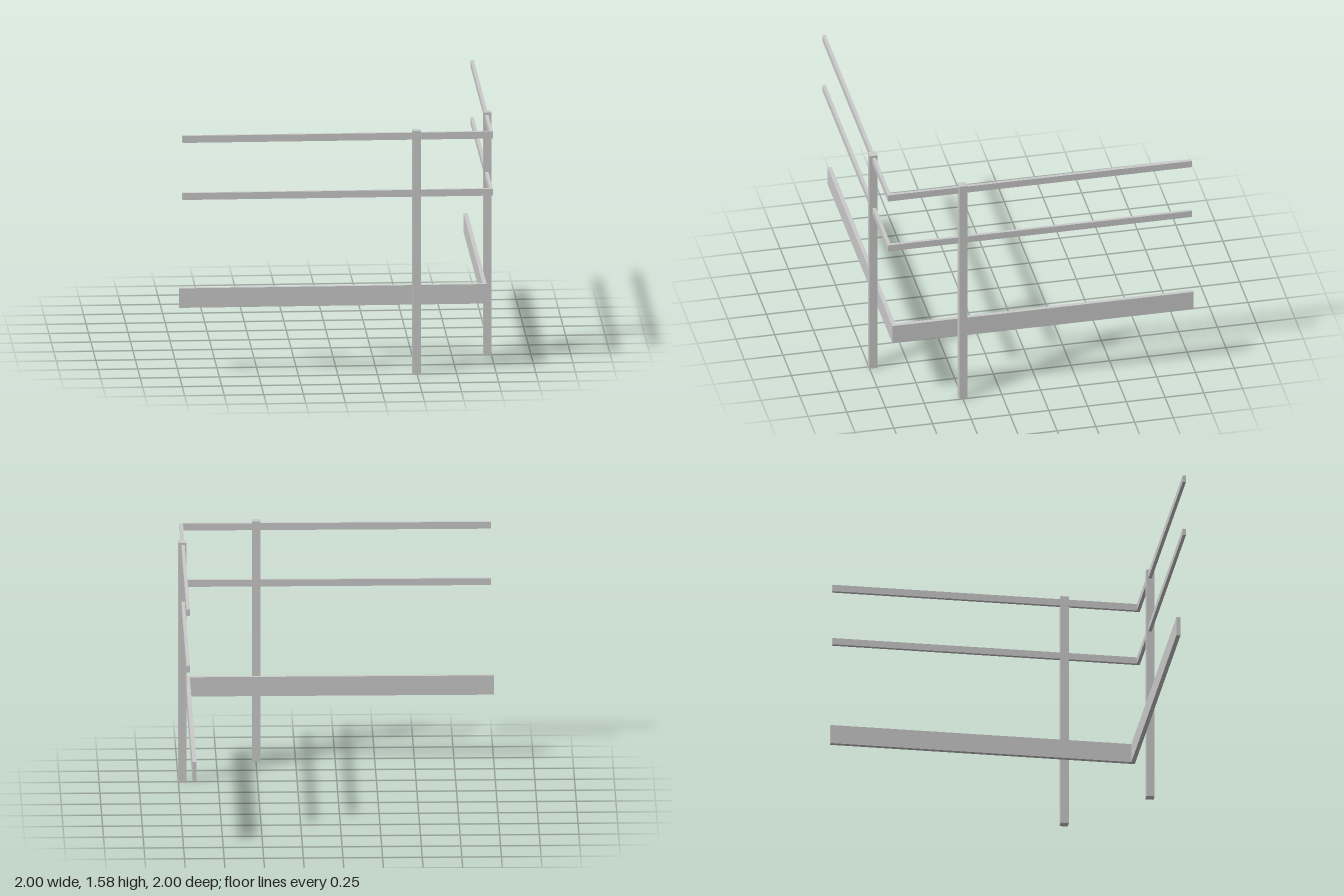
import * as THREE from 'three';

const material = new THREE.MeshStandardMaterial({ color: 0xcccccc, flatShading: true });

// L-shaped bar running along the front and the left side, meeting at one corner
function cornerBar(name, start, outer, thickness, bottom, top) {
  const inner = outer - thickness;
  const shape = new THREE.Shape([
    [start, -outer], [outer, -outer], [outer, -start],
    [inner, -start], [inner, -inner], [start, -inner],
  ].map(([x, y]) => new THREE.Vector2(x, y)));
  const geometry = new THREE.ExtrudeGeometry(shape, { depth: top - bottom, bevelEnabled: false });
  geometry.rotateX(-Math.PI / 2);
  const mesh = new THREE.Mesh(geometry, material);
  mesh.name = name;
  mesh.position.y = bottom;
  return mesh;
}

// Square upright standing on the ground
function post(name, x, z) {
  const size = 0.052, height = 1.577;
  const mesh = new THREE.Mesh(new THREE.BoxGeometry(size, height, size), material);
  mesh.name = name;
  mesh.position.set(x, height / 2, z);
  return mesh;
}

export function createModel() {
  const group = new THREE.Group();
  group.name = 'cornerGuardRail';
  group.add(
    // Posts, one on each arm
    post('frontPost', 0.498, 0.974),
    post('sidePost', 0.974, 0.498),
    // Two slim rails passing through the posts
    cornerBar('topRail', -0.982, 0.981, 0.021, 1.516, 1.561),
    cornerBar('middleRail', -0.982, 0.981, 0.021, 1.146, 1.19),
    // Wide board on the inner side of the posts
    cornerBar('toeBoard', -1, 0.944, 0.026, 0.438, 0.564),
  );
  return group;
}
